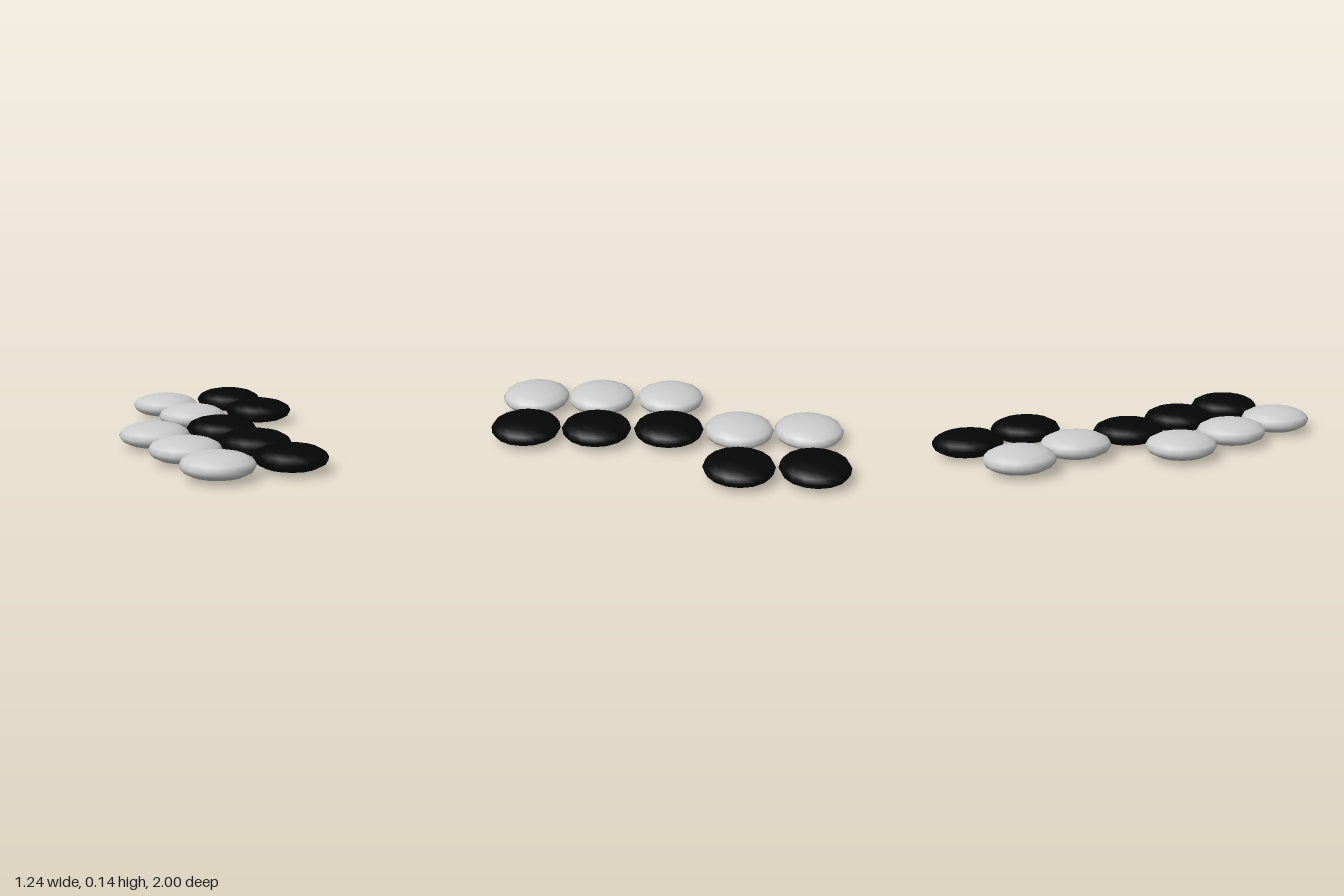
import * as THREE from 'three';

export function createModel() {
  const group = new THREE.Group();
  const radius = 0.197, halfHeight = 0.069;

  // Flattened low-segment sphere shared by every counter
  const pebble = new THREE.SphereGeometry(1, 16, 8).scale(radius, halfHeight, radius);
  const light = new THREE.MeshStandardMaterial({ color: 0xcccccc });
  const dark = new THREE.MeshStandardMaterial({ color: 0x050505 });

  const addRow = (name, material, spots) => {
    spots.forEach(([x, z], i) => {
      const mesh = new THREE.Mesh(pebble, material);
      mesh.name = name + (i + 1);
      mesh.position.set(x, halfHeight, z);
      group.add(mesh);
    });
  };

  // Light counters: two in the middle column at the back, three in the right column
  addRow('lightCounter', light, [
    [-0.013, -0.80], [-0.013, -0.405], [-0.425, -0.008], [-0.425, 0.402], [-0.425, 0.79],
  ]);

  // Dark counters: two in the left column at the back, three in the middle column
  addRow('darkCounter', dark, [
    [0.423, -0.803], [0.423, -0.395], [-0.015, -0.008], [-0.015, 0.402], [-0.017, 0.803],
  ]);

  return group;
}
